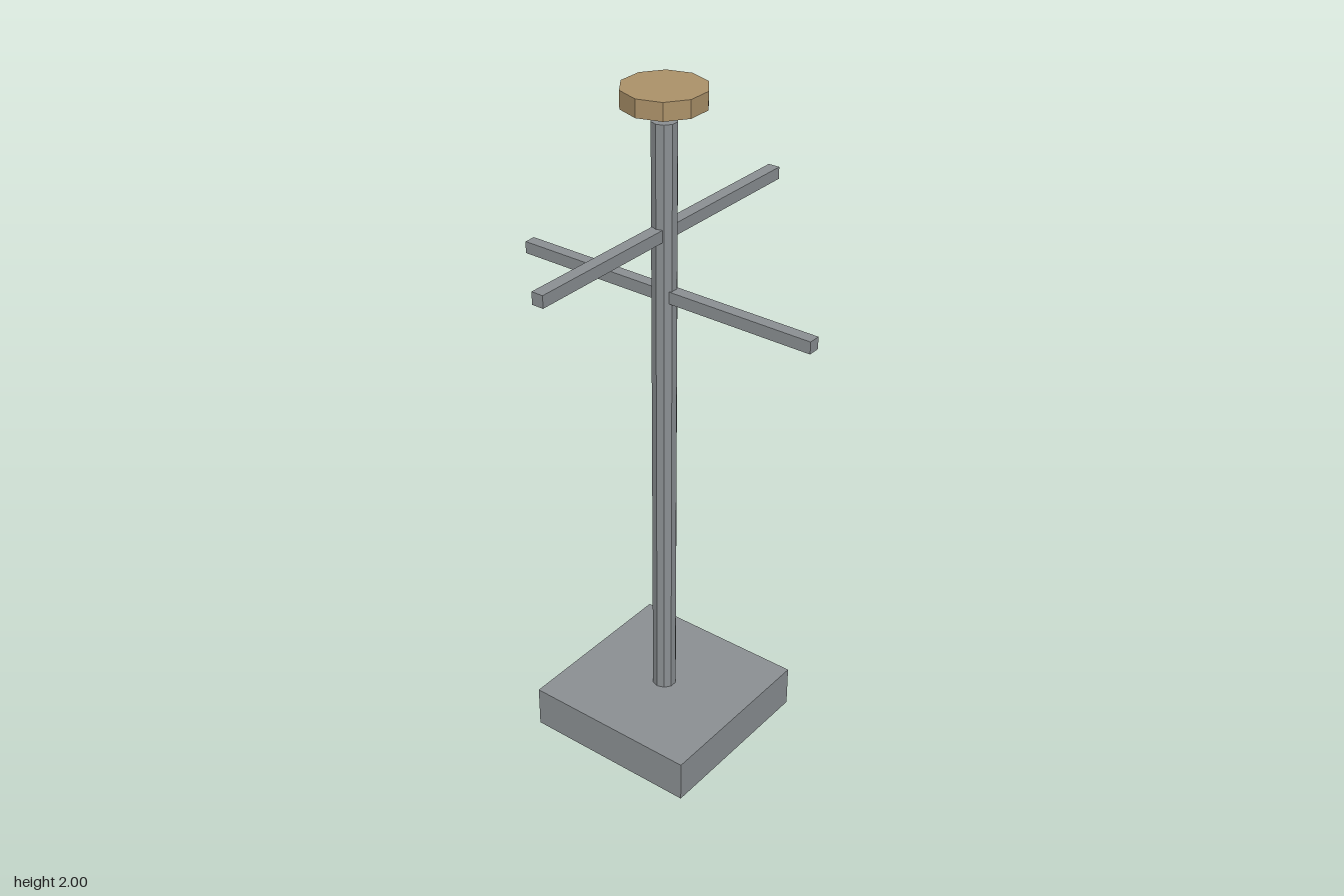
import * as THREE from 'three';

export function createModel() {
  const model = new THREE.Group();
  model.name = 'postWithCrossbars';

  const grey = new THREE.MeshStandardMaterial({ color: 0x8c9194, flatShading: true });
  grey.name = 'grey metal';
  const tan = new THREE.MeshStandardMaterial({ color: 0xad936a, flatShading: true });
  tan.name = 'tan wood';

  const add = (name, geometry, material, y) => {
    const mesh = new THREE.Mesh(geometry, material);
    mesh.name = name;
    mesh.position.y = y;
    model.add(mesh);
  };
  // Ten-sided cylinder with corners on the x axis
  const decagon = (radius, height) =>
    new THREE.CylinderGeometry(radius, radius, height, 10).rotateY(Math.PI / 2);

  // Square base block
  add('base', new THREE.BoxGeometry(0.536, 0.127, 0.536), grey, 0.0635);

  // Upright post, from the base top to just below the cap
  add('post', decagon(0.0355, 1.784), grey, 1.019);

  // Two crossbars at right angles through the post
  add('upperCrossbar', new THREE.BoxGeometry(0.984, 0.035, 0.035), grey, 1.61);
  add('lowerCrossbar', new THREE.BoxGeometry(0.035, 0.035, 0.942), grey, 1.433);

  // Cap disc floating just above the post
  add('cap', decagon(0.115, 0.049), tan, 1.9755);

  return model;
}
